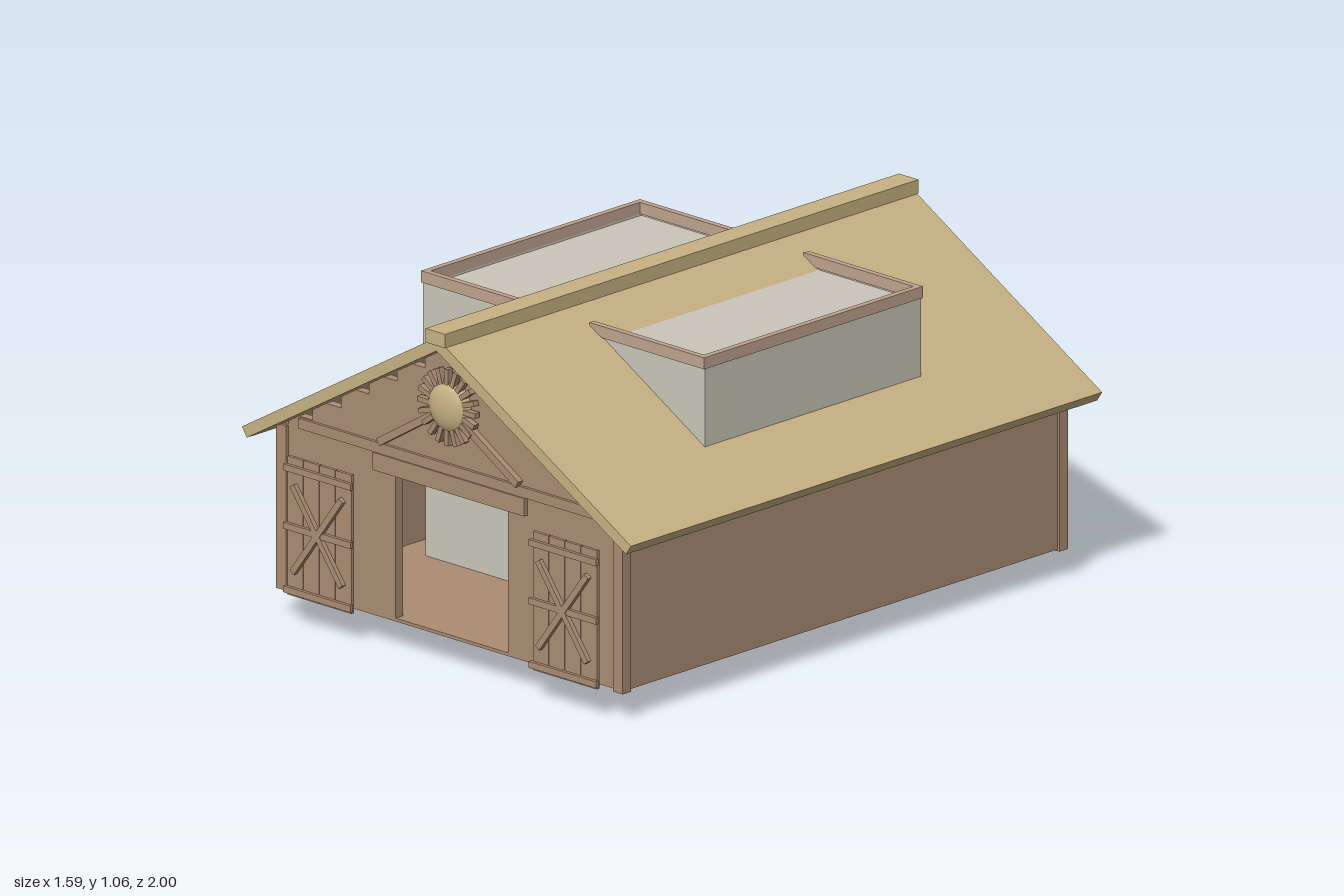
import * as THREE from 'three';

const mat = (name, color, extra = {}) => Object.assign(new THREE.MeshStandardMaterial({ color, ...extra }), { name });

export function createModel() {
  const root = new THREE.Group();
  root.name = 'barn';
  const wood = mat('brown wood', 0xab8d72);
  const straw = mat('straw yellow', 0xc8b283);
  const plaster = mat('pale grey', 0xcac6ba);
  const trim = mat('light wood', 0xc0a48e);
  const stone = mat('stone grey', 0x7c7c7c);

  const add = (name, geo, material, parent = root) => {
    const mesh = new THREE.Mesh(geo, material);
    mesh.name = name;
    parent.add(mesh);
    return mesh;
  };
  // Box given by its limits on each axis
  const box = (name, material, x0, x1, y0, y1, z0, z1, parent = root) => {
    const mesh = add(name, new THREE.BoxGeometry(x1 - x0, y1 - y0, z1 - z0), material, parent);
    mesh.position.set((x0 + x1) / 2, (y0 + y1) / 2, (z0 + z1) / 2);
    return mesh;
  };
  // Flat bar between two points of the front plane
  const bar = (name, material, ax, ay, bx, by, w, z0, z1, parent = root) => {
    const len = Math.hypot(bx - ax, by - ay);
    const mesh = add(name, new THREE.BoxGeometry(len, w, z1 - z0), material, parent);
    mesh.position.set((ax + bx) / 2, (ay + by) / 2, (z0 + z1) / 2);
    mesh.rotation.z = Math.atan2(by - ay, bx - ax);
    return mesh;
  };

  // Floor and walls
  box('floor', wood, -0.7, 0.7, 0.09, 0.1, -0.93, 0.93);
  box('backWall', wood, -0.7, 0.7, 0.09, 0.6, -0.935, -0.9);
  for (const s of [-1, 1]) {
    const x = s * 0.69;
    box('sideWall', wood, x - 0.012, x + 0.012, 0.09, 0.592, -0.92, 0.92);
    box('frontWall', wood, Math.min(s * 0.23, s * 0.7), Math.max(s * 0.23, s * 0.7), 0.09, 0.6, 0.9, 0.93);
    for (const z of [-0.922, 0.922]) {
      box('cornerPost', wood, x - 0.02, x + 0.02, 0.085, 0.595, z - 0.018, z + 0.018);
    }
  }

  // Stepped gables under the roof
  const steps = [[0.6, 0.635, 0.67], [0.635, 0.7, 0.57], [0.7, 0.77, 0.455],
    [0.77, 0.837, 0.34], [0.837, 0.905, 0.225], [0.905, 0.97, 0.11]];
  for (const [y0, y1, half] of steps) {
    box('frontGableBoard', wood, -half, half, y0, y1, 0.9, 0.93);
    box('backGableBoard', wood, -half, half, y0, y1, -0.935, -0.9);
  }

  // Door header, tie beam and gable struts
  box('doorHeader', wood, -0.31, 0.31, 0.545, 0.6, 0.9, 0.945);
  box('tieBeam', wood, -0.62, 0.62, 0.6, 0.632, 0.9, 0.94);
  for (const s of [-1, 1]) {
    bar('gableStrut', wood, s * 0.285, 0.638, s * 0.02, 0.8, 0.024, 0.93, 0.95);
  }

  // Sun ornament
  const sun = new THREE.Group();
  sun.name = 'sunOrnament';
  sun.position.set(0, 0.813, 0.935);
  root.add(sun);
  add('sunDisc', new THREE.SphereGeometry(0.083, 32, 20), straw, sun).scale.z = 0.45;
  for (let i = 0; i < 20; i++) {
    const a = i / 20 * Math.PI * 2, c = Math.cos(a), n = Math.sin(a);
    bar('sunRay', wood, c * 0.07, n * 0.07, c * 0.119, n * 0.119, 0.016, 0, 0.02, sun);
  }

  // Open plank doors standing in front of the wall
  for (const s of [-1, 1]) {
    const door = new THREE.Group();
    door.name = s > 0 ? 'leftDoor' : 'rightDoor';
    door.position.x = s * 0.503;
    root.add(door);
    for (let i = 0; i < 4; i++) {
      const x = -0.132 + i * 0.066;
      box('doorPlank', wood, x + 0.001, x + 0.065, 0.09, 0.52, 0.96, 0.971, door);
    }
    for (const y of [0.108, 0.305, 0.486]) {
      box('doorRail', wood, -0.138, 0.138, y - 0.01, y + 0.01, 0.97, 0.982, door);
    }
    for (const d of [-1, 1]) {
      bar('doorBrace', wood, -d * 0.1, 0.168, d * 0.1, 0.437, 0.02, 0.97, 0.985, door);
    }
  }

  // Roof slab and ridge beam
  const section = new THREE.Shape([[0, 1.04], [-0.797, 0.578], [-0.777, 0.548], [0, 0.998],
    [0.777, 0.548], [0.797, 0.578]].map(([x, y]) => new THREE.Vector2(x, y)));
  const slab = new THREE.ExtrudeGeometry(section, { depth: 1.99, bevelEnabled: false });
  add('roof', slab.translate(0, 0, -0.995), straw);
  box('ridgeBeam', straw, -0.04, 0.04, 1.017, 1.06, -1, 1);

  // Inner room rising through the roof as two dormers
  for (const s of [-1, 1]) {
    const span = (a, b) => [Math.min(s * a, s * b), Math.max(s * a, s * b)];
    box('innerRoom', plaster, ...span(0, 0.572), s < 0 ? 0.089 : 0.095, 0.942, -0.452, 0.452);
    box('dormerOuterRim', trim, ...span(0.56, 0.58), 0.948, 0.984, -0.462, 0.462);
    for (const z of [-0.452, 0.452]) {
      box('dormerSideRim', trim, ...span(0.11, 0.56), 0.948, 0.984, z - 0.01, z + 0.01);
      box('dormerSide', plaster, ...span(0.16, 0.575), 0.69, 0.948, z - 0.004, z + 0.004);
    }
    box('dormerFace', plaster, ...span(0.56, 0.577), 0.69, 0.948, -0.456, 0.456);
  }
  box('dormerSill', stone, -0.595, -0.576, 0.68, 0.72, -0.245, 0.245);

  // Things seen through the doorway
  box('innerDoor', straw, -0.09, 0.09, 0.1, 0.365, 0.45, 0.457);
  box('innerRail', wood, -0.3, 0.3, 0.495, 0.509, 0.45, 0.47);
  box('innerKnob', wood, 0.178, 0.188, 0.426, 0.436, 0.45, 0.47);

  // Rounded stones and thin sheets beneath the floor
  for (const [x, z, bottom] of [[0.13, -0.06, 0.043], [-0.13, -0.03, 0.043], [0, 0.06, 0.034], [0.02, -0.07, 0.04]]) {
    const rock = add('hearthStone', new THREE.SphereGeometry(1, 28, 18), stone);
    rock.position.set(x, 0.092, z);
    rock.scale.set(0.122, 0.092 - bottom, 0.122);
  }
  add('hearthUprightSheet', new THREE.PlaneGeometry(0.16, 0.09), wood).position.y = 0.045;
  const sheet = add('hearthFlatSheet', new THREE.PlaneGeometry(0.25, 0.25), stone);
  sheet.rotation.x = -Math.PI / 2;
  sheet.position.y = 0.02;

  return root;
}
